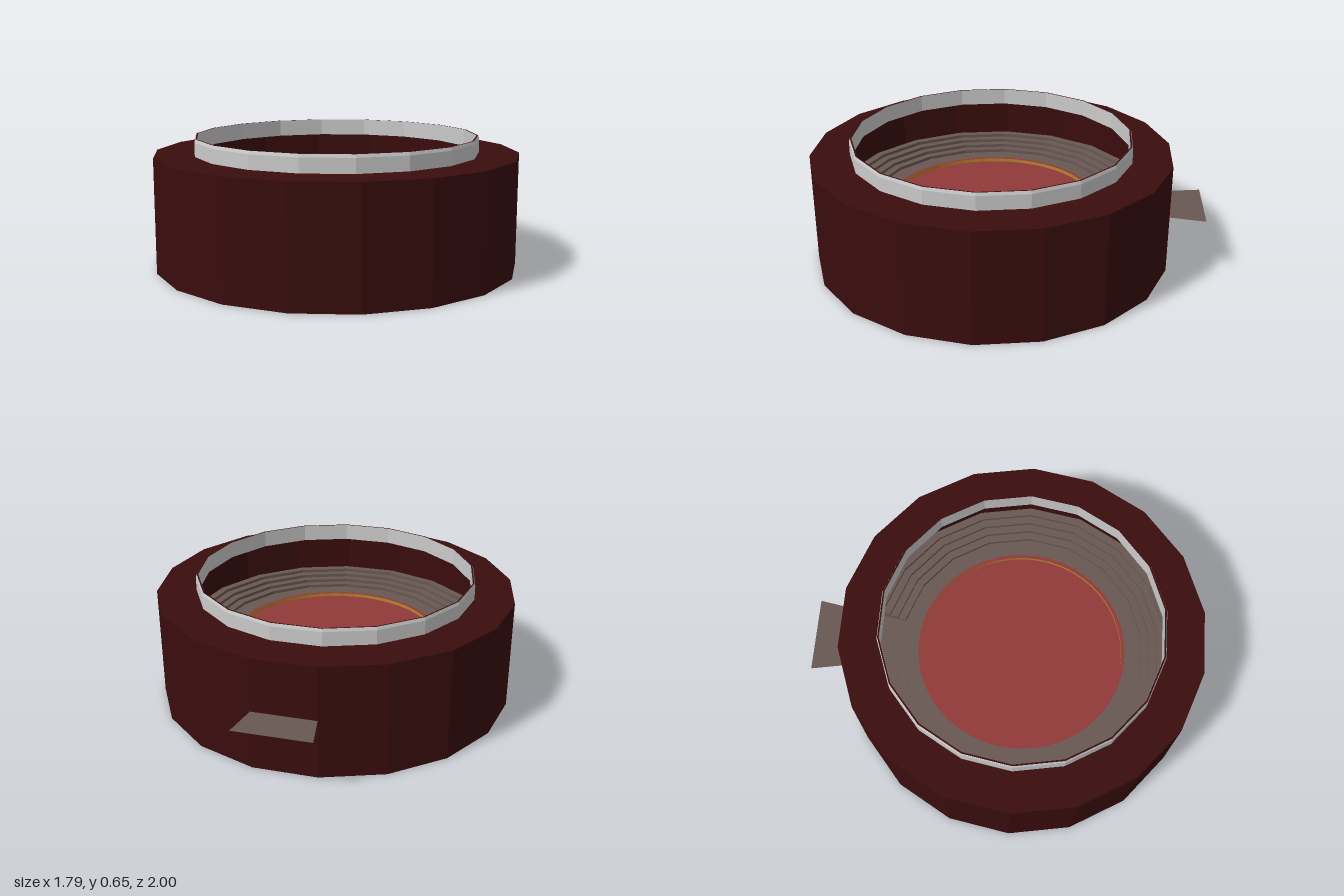
import * as THREE from 'three';

const STEP = Math.PI / 9; // the building has 18 sides

function material(name, color) {
  const m = new THREE.MeshStandardMaterial({ color, side: THREE.DoubleSide, flatShading: true });
  m.name = name;
  return m;
}

export function createModel() {
  const maroon = material('dark maroon', 0x3a0d0d);
  const silver = material('light grey', 0xcacaca);
  const stone = material('stone brown', 0x685852);
  const red = material('arena red', 0x923939);
  const gold = material('gold', 0xb5852b);

  const model = new THREE.Group();
  model.name = 'arena';
  const centre = new THREE.Group();
  centre.name = 'building';
  centre.position.z = 0.09;
  model.add(centre);

  const add = (name, geometry, mat) => {
    const mesh = new THREE.Mesh(geometry, mat);
    mesh.name = name;
    centre.add(mesh);
    return mesh;
  };
  // Surface of revolution from [radius, height] pairs
  const turn = (name, profile, mat, sides = 18, start = 0, length = Math.PI * 2) =>
    add(name, new THREE.LatheGeometry(
      profile.map(([r, y]) => new THREE.Vector2(r, y)), sides, start, length), mat);

  // Outer shell, open underneath, with a flat roof around the opening
  turn('outerWall', [[0.91, 0], [0.91, 0.565]], maroon);
  turn('roof', [[0.91, 0.565], [0.70, 0.565]], maroon);

  // Raised collar around the opening
  turn('collarOutside', [[0.711, 0.565], [0.711, 0.635], [0.706, 0.65]], silver);
  turn('collarRim', [[0.706, 0.65], [0.698, 0.65]], maroon);
  turn('collarInside', [[0.698, 0.65], [0.698, 0.565]], silver);

  // Stepped stands, broken by a one-side gap at the back
  const floorY = 0.297;
  const rise = 0.016;
  const steps = [[0.625, floorY]];
  for (let i = 0; i < 4; i++) {
    const y = floorY + rise * (i + 1);
    steps.push([0.625 + 0.04 * i, y], [0.665 + 0.04 * i, y]);
  }
  turn('stands', steps, stone, 17, Math.PI, STEP * 17);

  // Walls closing the stands on both sides of the gap
  const side = new THREE.Shape(
    [...steps, [0.785, floorY]].map(([r, y]) => new THREE.Vector2(r, y)));
  for (const phi of [Math.PI, Math.PI - STEP]) {
    add('gapWall', new THREE.ShapeGeometry(side), stone).rotation.y = phi - Math.PI / 2;
  }

  // Walkway around the floor, and the gangway running out through the wall
  turn('walkway', [[0.53, floorY], [0.625, floorY]], stone);
  turn('gangway', [[0.625, floorY], [1.09, floorY]], stone, 1, Math.PI - STEP, STEP);

  // Sunken round floor with a gold riser
  turn('floorEdge', [[0.535, 0.299], [0.517, 0.299]], red, 48);
  turn('floorRiser', [[0.517, 0.299], [0.517, 0.282]], gold, 48);
  const floor = add('floor', new THREE.CircleGeometry(0.517, 48), red);
  floor.rotation.x = -Math.PI / 2;
  floor.position.y = 0.282;

  return model;
}
